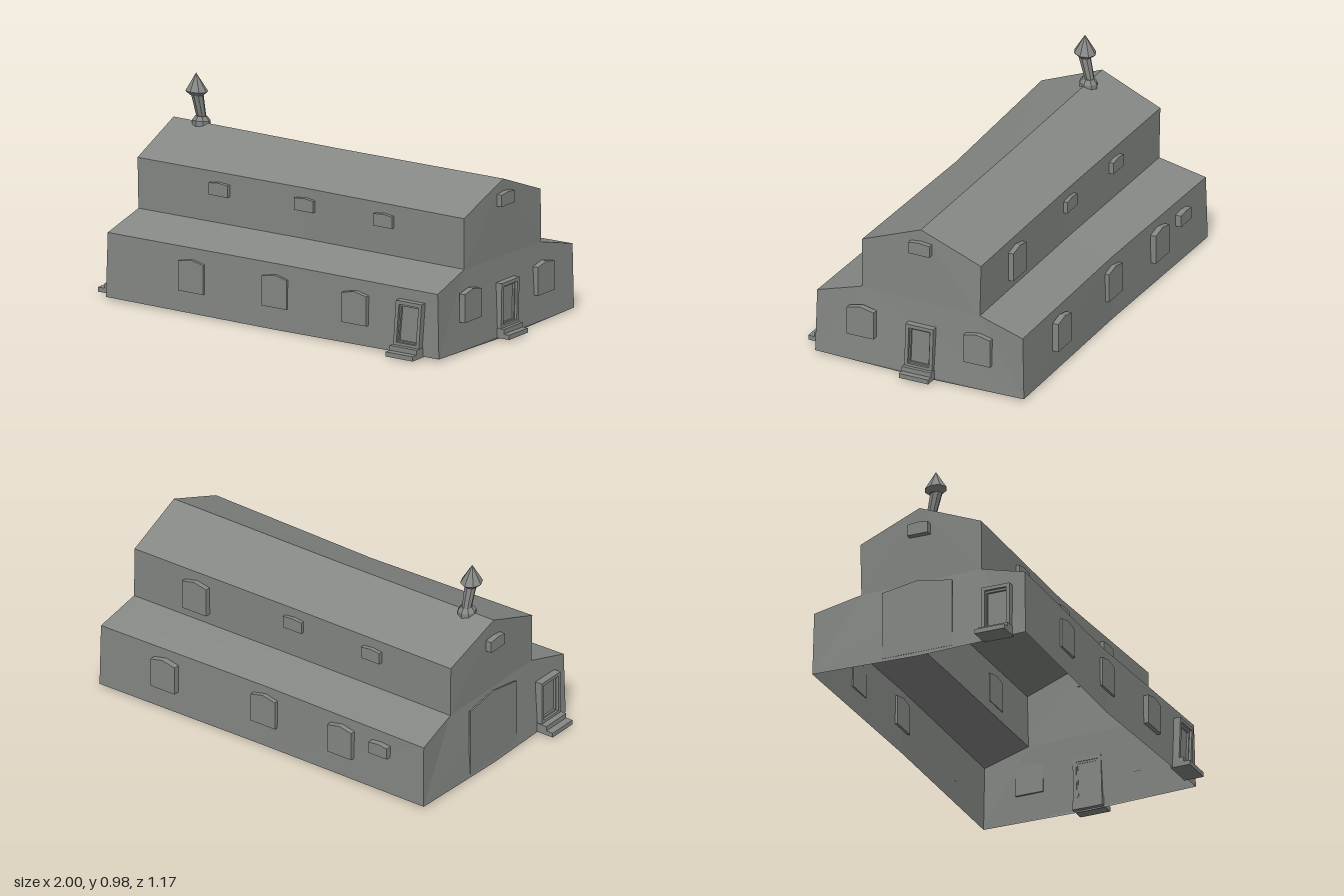
import * as THREE from 'three';

const stone = new THREE.MeshStandardMaterial({ color: 0x858885, side: THREE.DoubleSide, flatShading: true });
stone.name = 'grey stone';

const SIDE_TURN = { front: 0, right: Math.PI / 2, back: Math.PI, left: -Math.PI / 2 };

// Put a part made in wall space (x along the wall, y up, z outward) onto one side.
// u is the world x or z along that wall, out is the distance of local z = 0 from the centre.
function place(object, side, u, out) {
  const spots = { front: [u, out], back: [u, -out], right: [out, u], left: [-out, u] };
  const [x, z] = spots[side];
  object.position.set(x, 0, z);
  object.rotation.y = SIDE_TURN[side];
  return object;
}

function part(name, geometry) {
  const mesh = new THREE.Mesh(geometry, stone);
  mesh.name = name;
  return mesh;
}

function polygon(points) {
  return new THREE.Shape(points.map(([x, y]) => new THREE.Vector2(x, y)));
}

function plate(shape, depth) {
  const geometry = new THREE.ExtrudeGeometry(shape, { depth, bevelEnabled: false });
  return geometry.translate(0, 0, -depth);
}

// Low gabled plate; out is its outer face.
function gabled(name, side, u, y0, y1, w, out, peak = 0.015, depth = 0.03) {
  const shape = polygon([[-w / 2, y0], [w / 2, y0], [w / 2, y1 - peak], [0, y1], [-w / 2, y1 - peak]]);
  return place(part(name, plate(shape, depth)), side, u, out);
}

// Doorway: leaning frame with a stepped recess, a sunken leaf and two steps.
function doorway(name, side, u, wall, lean, stepReach) {
  const group = new THREE.Group();
  group.name = name;
  const outline = (w, y0, y1) => [[-w / 2, y0], [w / 2, y0], [w / 2 + lean, y1], [-w / 2 + lean, y1]];
  const frame = polygon(outline(0.142, 0.05, 0.267));
  frame.holes.push(polygon(outline(0.108, 0.068, 0.25)));
  group.add(part('doorFrame', plate(frame, 0.035).translate(0, 0, 0.03)));
  const trim = polygon(outline(0.11, 0.067, 0.251));
  trim.holes.push(polygon(outline(0.094, 0.075, 0.24)));
  group.add(part('doorTrim', plate(trim, 0.02).translate(0, 0, 0.018)));
  group.add(part('doorLeaf', plate(polygon(outline(0.1, 0.07, 0.245)), 0.008).translate(0, 0, 0.008)));
  [[0.01, 0.032, stepReach], [0.032, 0.055, stepReach * 0.62]].forEach(([y0, y1, reach]) => {
    const step = part('doorStep', new THREE.BoxGeometry(0.15, y1 - y0, reach + 0.01));
    step.position.set(0, (y0 + y1) / 2, (reach - 0.01) / 2);
    group.add(step);
  });
  return place(group, side, u, wall);
}

// Open-bottomed hall: three cross-sections, slightly pinched in the middle.
function hallGeometry() {
  // z at the ends, y, z at the middle, left x, right x
  const profile = [
    [0.505, 0.015, 0.485, -0.912, 0.93],
    [0.5, 0.32, 0.48, -0.905, 0.92],
    [0.275, 0.385, 0.253, -0.89, 0.912],
    [0.275, 0.625, 0.253, -0.895, 0.91],
    [-0.03, 0.745, -0.03, -0.905, 0.92],
    [-0.335, 0.625, -0.325, -0.89, 0.915],
    [-0.332, 0.375, -0.322, -0.885, 0.92],
    [-0.56, 0.317, -0.542, -0.905, 0.937],
    [-0.567, 0.012, -0.548, -0.91, 0.94],
  ];
  const sections = [
    profile.map(([z, y, , x]) => [x, y, z]),
    profile.map(([, y, z], i) => [0.01, i % 8 ? y - 0.004 : 0.003, z]),
    profile.map(([z, y, , , x]) => [x, y, z]),
  ];
  const out = [];
  const tri = (a, b, c) => out.push(...a, ...b, ...c);
  for (let s = 0; s < 2; s++) {
    for (let i = 0; i < profile.length - 1; i++) {
      const a = sections[s][i], b = sections[s + 1][i];
      const c = sections[s + 1][i + 1], d = sections[s][i + 1];
      tri(a, b, c);
      tri(a, c, d);
    }
  }
  // Gable ends, sagging a little at the foot
  [sections[0], sections[2]].forEach((section, end) => {
    const loop = [...section, [section[0][0], 0, -0.03]];
    const flat = loop.map(([, y, z]) => new THREE.Vector2(z, y));
    for (const [i, j, k] of THREE.ShapeUtils.triangulateShape(flat, [])) {
      const [a, b, c] = [loop[i], loop[j], loop[k]];
      const normalX = (b[1] - a[1]) * (c[2] - a[2]) - (b[2] - a[2]) * (c[1] - a[1]);
      if ((normalX > 0) === (end === 1)) tri(a, b, c);
      else tri(a, c, b);
    }
  });
  const geometry = new THREE.BufferGeometry();
  geometry.setAttribute('position', new THREE.Float32BufferAttribute(out, 3));
  geometry.computeVertexNormals();
  return geometry;
}

// Turned part whose axis leans from its foot, with an optional tilt of its rings.
function leaning(name, points, x0, z0, dx, dz, tilt = 0) {
  const geometry = new THREE.LatheGeometry(points.map(([r, y]) => new THREE.Vector2(r, y)), 8);
  const p = geometry.attributes.position;
  const foot = points[0][1];
  for (let i = 0; i < p.count; i++) {
    const rise = p.getY(i) - foot;
    p.setXYZ(i, p.getX(i) + x0 + dx * rise, p.getY(i) + tilt * p.getZ(i), p.getZ(i) + z0 + dz * rise);
  }
  geometry.computeVertexNormals();
  return part(name, geometry);
}

export function createModel() {
  const model = new THREE.Group();
  model.name = 'hall';
  model.add(part('wallsAndRoof', hallGeometry()));

  // Front windows: lower row, then upper row
  [[-0.445, 0.505], [0.01, 0.495], [0.465, 0.515]].forEach(([x, out]) =>
    model.add(gabled('frontWindow', 'front', x, 0.11, 0.265, 0.138, out)));
  [[-0.445, 0.283], [0.02, 0.272], [0.465, 0.283]].forEach(([x, out]) =>
    model.add(gabled('frontUpperWindow', 'front', x, 0.515, 0.577, 0.105, out, 0.006)));

  // Back windows, with one small one low down and one large one high up
  [[-0.435, 0.578], [0.01, 0.565], [0.565, 0.588]].forEach(([x, out]) =>
    model.add(gabled('backWindow', 'back', x, 0.12, 0.275, 0.138, out)));
  model.add(gabled('backSmallWindow', 'back', -0.66, 0.2, 0.262, 0.105, 0.585, 0.006));
  [[-0.44, 0.35], [0.01, 0.343]].forEach(([x, out]) =>
    model.add(gabled('backUpperWindow', 'back', x, 0.515, 0.577, 0.105, out, 0.006)));
  model.add(gabled('backUpperLargeWindow', 'back', 0.56, 0.425, 0.58, 0.138, 0.355));

  // Gable end windows
  model.add(gabled('rightWindow', 'right', 0.263, 0.15, 0.3, 0.136, 0.955));
  model.add(gabled('rightWindow', 'right', -0.33, 0.14, 0.29, 0.138, 0.952));
  model.add(gabled('rightGableWindow', 'right', -0.032, 0.626, 0.688, 0.108, 0.945, 0.006));
  model.add(gabled('leftGableWindow', 'left', -0.03, 0.605, 0.665, 0.105, 0.93, 0.006));

  // Large gate, nearly flush with the left end
  model.add(gabled('gate', 'left', -0.04, 0.02, 0.38, 0.35, 0.912, 0.03, 0.008));

  model.add(doorway('frontDoor', 'front', 0.765, 0.5, 0.015, 0.086));
  model.add(doorway('rightDoor', 'right', -0.033, 0.923, 0.006, 0.077));
  model.add(doorway('leftDoor', 'left', 0.365, 0.905, 0, 0.095));

  // Leaning chimney with a pointed cowl
  model.add(leaning('chimneyBase', [[0.043, 0.725], [0.043, 0.752], [0.028, 0.772], [0, 0.772]],
    -0.756, -0.035, 0, 0, 0.1));
  model.add(leaning('chimneyPipe', [[0.022, 0.755], [0.029, 0.885]], -0.758, -0.043, -0.03, 0.25));
  model.add(leaning('chimneyCowl', [[0, 0.868], [0.03, 0.872], [0.053, 0.893], [0, 0.98]],
    -0.765, -0.014, -0.03, 0.02, 0.1));
  return model;
}
